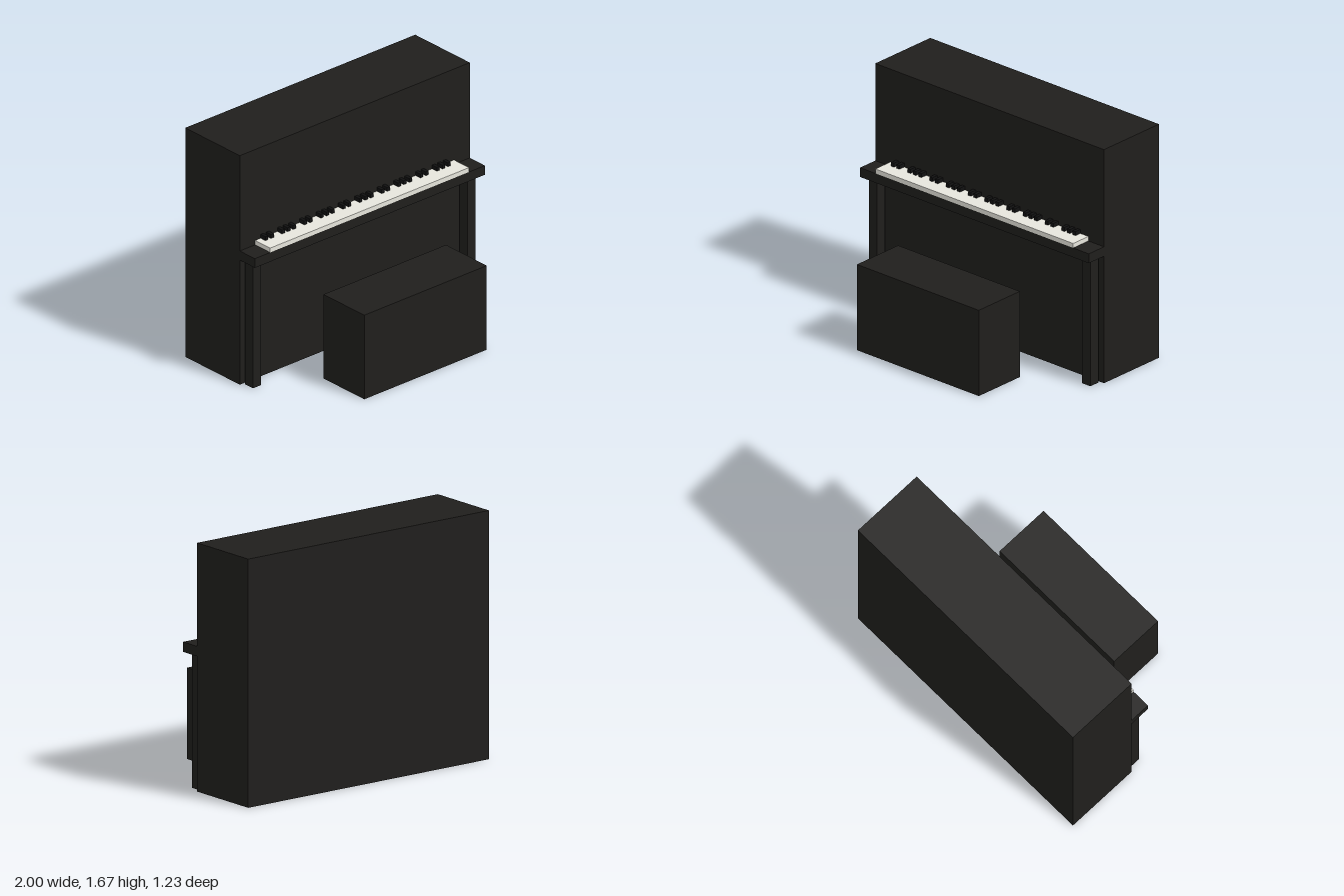
import * as THREE from 'three';

export function createModel() {
  const model = new THREE.Group();
  model.name = 'uprightPianoWithBench';

  const lacquer = new THREE.MeshStandardMaterial({ color: 0x1f1e1c });
  const ivory = new THREE.MeshStandardMaterial({ color: 0xe6e5dc });
  const ebony = new THREE.MeshStandardMaterial({ color: 0x111111 });

  // Adds a box spanning the given [min, max] ranges
  function box(name, [x0, x1], [y0, y1], [z0, z1], material, parent = model) {
    const mesh = new THREE.Mesh(new THREE.BoxGeometry(x1 - x0, y1 - y0, z1 - z0), material);
    mesh.position.set((x0 + x1) / 2, (y0 + y1) / 2, (z0 + z1) / 2);
    mesh.name = name;
    parent.add(mesh);
    return mesh;
  }

  // Cabinet and key shelf
  box('cabinet', [-1, 1], [0, 1.67], [-0.613, -0.08], lacquer);
  box('keyShelf', [-1, 1], [0.908, 0.975], [-0.08, 0.067], lacquer);

  // Front legs, free of the cabinet
  for (const [name, x] of [['rightLeg', -0.935], ['leftLeg', 0.93]]) {
    box(name, [x - 0.036, x + 0.036], [0, 0.908], [-0.064, 0.015], lacquer);
  }

  // Keyboard: one white slab, black keys in groups of two and three
  const keyboard = new THREE.Group();
  keyboard.name = 'keyboard';
  model.add(keyboard);
  box('whiteKeys', [-0.867, 0.863], [0.975, 1.007], [-0.08, 0.067], ivory, keyboard);

  const pitch = 0.0481;
  for (let octave = 0; octave < 5; octave++) {
    for (const step of [0, 1, 3, 4, 5]) {
      const x = -0.807 + (octave * 7 + step) * pitch;
      box('blackKey', [x - 0.012, x + 0.012], [1.007, 1.035], [-0.08, -0.033], ebony, keyboard);
    }
  }

  // Bench
  box('bench', [-0.535, 0.53], [0, 0.613], [0.215, 0.613], lacquer);

  return model;
}
